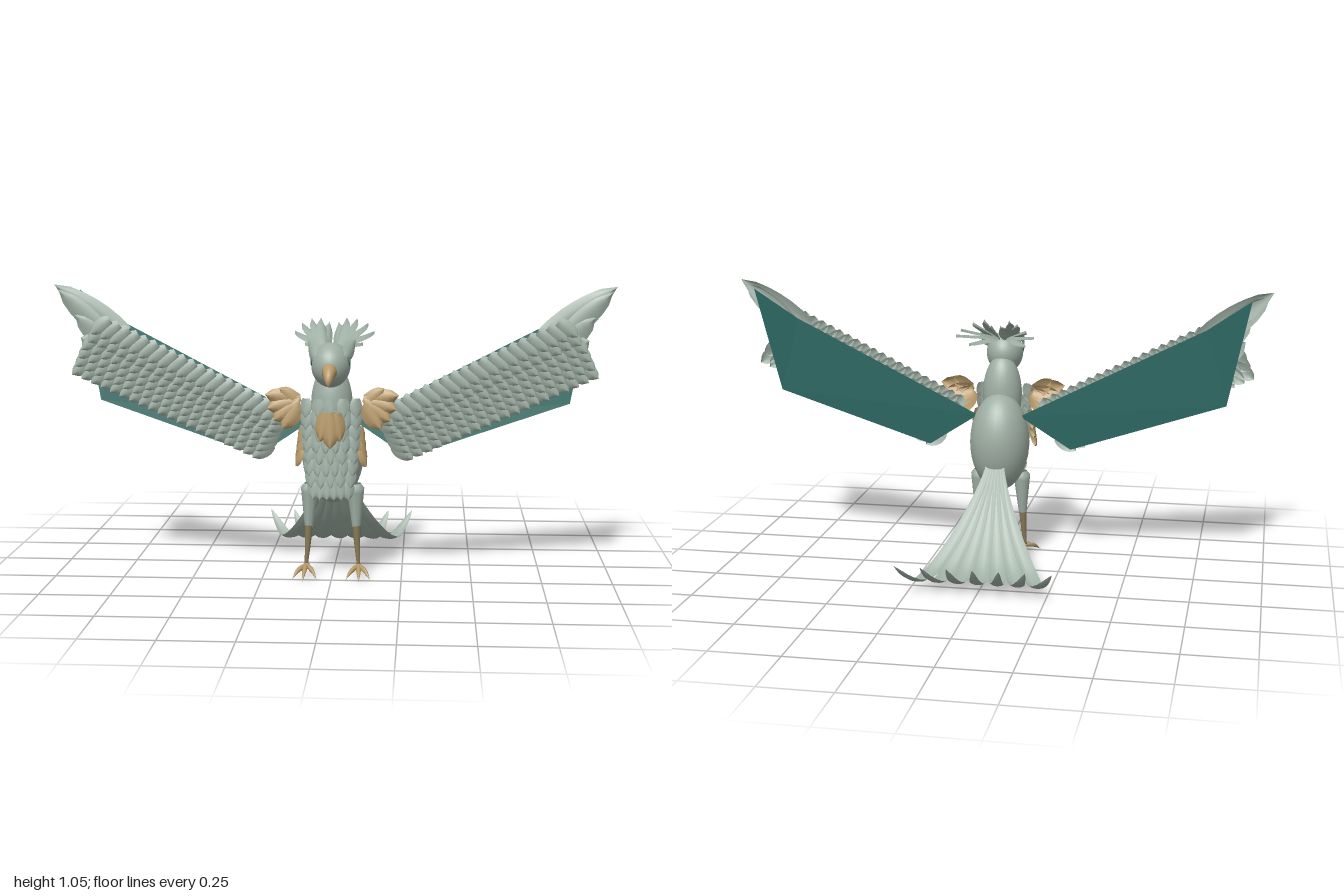
import * as THREE from 'three';
import { mergeGeometries } from 'three/addons/utils/BufferGeometryUtils.js';

const V = (x, y, z) => new THREE.Vector3(x, y, z);

function paint(name, color, open = true) {
  const m = new THREE.MeshStandardMaterial({ color, side: open ? THREE.DoubleSide : THREE.FrontSide });
  m.name = name;
  return m;
}

function add(parent, name, geometry, material) {
  const mesh = new THREE.Mesh(geometry, material);
  mesh.name = name;
  parent.add(mesh);
  return mesh;
}

// Cupped leaf running from base to base + dir * length, facing normal
function feather(base, dir, normal, length, width, cup = 0.012, bend = 0) {
  const g = new THREE.PlaneGeometry(1, 1, 4, 6);
  const p = g.attributes.position;
  for (let i = 0; i < p.count; i++) {
    const u = p.getX(i), t = 0.5 - p.getY(i);
    const w = width * Math.pow(Math.max(0, Math.sin(Math.PI * (0.15 + 0.85 * t))), 0.6);
    p.setXYZ(i, u * w, -t * length, cup * (1 - 4 * u * u) + bend * t * t);
  }
  const y = dir.clone().normalize().negate();
  const x = y.clone().cross(normal).normalize();
  const z = x.clone().cross(y);
  g.applyMatrix4(new THREE.Matrix4().makeBasis(x, y, z).setPosition(base));
  g.computeVertexNormals();
  return g;
}

// Round limb along a curve whose radius follows a rule
function limb(points, radius, sides = 12) {
  const n = 10, curve = new THREE.CatmullRomCurve3(points);
  const g = new THREE.TubeGeometry(curve, n, 1, sides);
  const p = g.attributes.position, v = V(0, 0, 0);
  for (let i = 0; i < p.count; i++) {
    const t = Math.floor(i / (sides + 1)) / n, c = curve.getPointAt(t);
    v.fromBufferAttribute(p, i).sub(c).multiplyScalar(radius(t)).add(c);
    p.setXYZ(i, v.x, v.y, v.z);
  }
  g.computeVertexNormals();
  return g;
}

const ball = (c, r) => new THREE.SphereGeometry(1, 28, 20).scale(...r).translate(...c);

export function createModel() {
  const model = new THREE.Group();
  model.name = 'bird';
  const grey = paint('grey plumage', 0x9fafa4);
  const teal = paint('teal lining', 0x2f6c66);
  const tan = paint('tan horn', 0xb99c6c);
  const brown = paint('brown shank', 0x887a57);

  // Body, neck, head and hooked beak
  add(model, 'body', ball([0, 0.455, 0.15], [0.112, 0.187, 0.119]), grey);
  add(model, 'neck', ball([0, 0.63, 0.205], [0.074, 0.15, 0.072]), grey);
  add(model, 'head', ball([0, 0.78, 0.262], [0.069, 0.079, 0.084]), grey);
  add(model, 'beak', limb([V(0, 0.76, 0.315), V(0, 0.768, 0.355), V(0, 0.75, 0.386), V(0, 0.718, 0.397)],
    t => 0.03 * Math.sqrt(1 - t)), tan);

  // Chest bib of overlapping scale rows
  const bib = [];
  for (let r = 0; r < 8; r++) {
    const n = 5 + (r % 2), half = 0.088 - 0.026 * Math.pow(r / 7, 2);
    for (let i = 0; i < n; i++) {
      const x = half * (2 * i / (n - 1) - 1);
      const z = 0.272 + 0.017 * r / 7 - 2.5 * x * x;
      bib.push(feather(V(x, 0.66 - r * 0.041, z), V(0, -1, 0.13), V(x * 5, 0, 1), 0.07, 0.046, 0.008));
    }
  }
  add(model, 'chestScales', mergeGeometries(bib), grey);

  // Chest ornament
  const badge = [
    feather(V(0, 0.62, 0.308), V(0, -1, 0.08), V(0, 0, 1), 0.13, 0.07, 0.018),
    ...[-1, 1].map(s => feather(V(s * 0.02, 0.615, 0.304), V(s * 0.12, -1, 0.08), V(s * 0.4, 0, 1), 0.1, 0.06, 0.015)),
  ];
  add(model, 'chestOrnament', mergeGeometries(badge), tan);

  // Tail: seven long folded feathers sweeping back and curling up
  const sweep = new THREE.CatmullRomCurve3([V(0, 0.39, 0.055), V(0, 0.25, -0.045), V(0, 0.13, -0.14),
    V(0, 0.06, -0.22), V(0, 0.04, -0.29), V(0, 0.07, -0.35), V(0, 0.12, -0.395)]);
  const tail = [];
  for (let k = -3; k <= 3; k++) {
    const g = new THREE.PlaneGeometry(1, 1, 4, 24), p = g.attributes.position;
    for (let i = 0; i < p.count; i++) {
      const t = 0.5 - p.getY(i), u = p.getX(i), c = sweep.getPointAt(t);
      const w = (0.02 + 0.062 * t) * Math.min(1, Math.pow(Math.max(0, (1 - t) / 0.3), 0.75));
      const x = k * (0.008 + 0.086 * Math.pow(t, 1.35));
      p.setXYZ(i, x + u * w, c.y - 0.012 * (1 - 4 * u * u) * (w / 0.07), c.z);
    }
    g.computeVertexNormals();
    tail.push(g);
  }
  add(model, 'tailFeathers', mergeGeometries(tail), grey);

  for (const s of [1, -1]) {
    const side = new THREE.Group();
    side.name = s > 0 ? 'leftSide' : 'rightSide';
    side.scale.x = s;
    model.add(side);

    // Eye and brow
    add(side, 'eye', ball([0.066, 0.793, 0.285], [0.004, 0.013, 0.007]), teal);
    add(side, 'brow', feather(V(0.05, 0.808, 0.302), V(0.028, 0.055, -0.115), V(0.8, 0.5, 0.15), 0.125, 0.055, 0.01), grey);

    // Crest fan
    const root = V(0.025, 0.835, 0.215);
    const crest = [[0.02, 0.905, 0.06], [0.05, 0.922, 0.08], [0.085, 0.915, 0.05],
      [0.122, 0.895, 0.018], [0.145, 0.868, 0.045], [0.105, 0.83, 0.085]].map(t => {
      const d = V(...t).sub(root);
      return feather(root, d, V(-0.35, 0.75, 0.55), d.length(), 0.045, 0.01);
    });
    add(side, 'crest', mergeGeometries(crest), grey);

    // Wing lining panel
    const lining = new THREE.BufferGeometry();
    lining.setAttribute('position', new THREE.Float32BufferAttribute([
      0.08, 0.56, 0.13, 0.27, 0.435, 0.15, 0.845, 0.63, 0.125, 0.925, 1.025, 0.068, 0.765, 0.912, 0.095], 3));
    lining.setIndex([0, 1, 2, 0, 2, 4, 4, 2, 3]);
    const flat = lining.toNonIndexed();
    flat.computeVertexNormals();
    add(side, 'wingLining', flat, teal);

    // Wing feather rows, the lowest row furthest back
    const along = V(0.91, 0.415, 0), across = V(-0.415, 0.91, 0);
    const down = along.clone().multiplyScalar(0.5).addScaledVector(across, -0.87);
    for (let r = 0; r < 6; r++) {
      const row = [], n = 20;
      for (let i = 0; i < n; i++) {
        const t = i / (n - 1);
        const base = V(0.195, 0.53, 0.16 + 0.007 * r)
          .addScaledVector(along, t * 0.715 - (r > 3 ? 0.01 : 0))
          .addScaledVector(across, -0.055 + 0.034 * r * (0.85 + 0.15 * t));
        row.push(feather(base, down, V(0.15, -0.12, 1), 0.088, 0.058, 0.01));
      }
      add(side, 'wingFeatherRow', mergeGeometries(row), grey);
    }

    // Wing tip plumes
    const plumes = [[0.74, 0.875, 1.0, 1.048, 0.085], [0.8, 0.87, 0.985, 1.03, 0.085], [0.77, 0.83, 0.925, 0.94, 0.1],
      [0.79, 0.8, 0.905, 0.86, 0.1]].map(([x, y, X, Y, w], i) =>
      feather(V(x, y, 0.15 + i * 0.006), V(X - x, Y - y, -0.01), V(0, 0, 1), Math.hypot(X - x, Y - y), w, 0.012));
    add(side, 'wingTip', mergeGeometries(plumes), grey);

    // Shoulder guard and flank plates
    const guard = [10, -12, -34, -56].map((a, i) => {
      const q = a * Math.PI / 180;
      return feather(V(0.115, 0.645 - i * 0.004, 0.2 + i * 0.004), V(Math.cos(q), Math.sin(q), 0.06), V(0.1, 0, 1),
        0.125 - i * 0.006, 0.07, 0.014);
    });
    guard.push(feather(V(0.12, 0.63, 0.205), V(0.65, 0.6, 0), V(0, 0, 1), 0.09, 0.06, 0.012));
    add(side, 'shoulderGuard', mergeGeometries(guard), tan);
    const flank = [0, 1, 2].map(i =>
      feather(V(0.1 + 0.004 * i, 0.56 - 0.035 * i, 0.235 + 0.004 * i), V(0.12, -1, 0.15), V(0.8, 0.1, 0.6), 0.075, 0.05, 0.012));
    add(side, 'flankPlates', mergeGeometries(flank), tan);

    // Leg: feathered thigh, shank and four clawed toes
    add(side, 'thigh', limb([V(0.082, 0.34, 0.168), V(0.084, 0.26, 0.168), V(0.086, 0.178, 0.17)],
      t => t < 0.01 ? 0.02 : 0.034 - 0.019 * t), grey);
    add(side, 'shank', limb([V(0.086, 0.185, 0.171), V(0.09, 0.11, 0.175), V(0.095, 0.04, 0.181)],
      t => 0.015 - 0.009 * t), brown);
    for (const [x, z] of [[0.05, 0.262], [0.1, 0.29], [0.142, 0.262], [0.093, 0.1]]) {
      const mx = (x * 0.6 + 0.095 * 0.4), mz = z * 0.6 + 0.18 * 0.4;
      add(side, 'toe', limb([V(0.095, 0.042, 0.18), V(mx, 0.027, mz), V(x, 0.002, z)],
        t => 0.004 + 0.006 * Math.sin(Math.PI * Math.min(1, t + 0.1)) - 0.0035 * t, 8), tan);
    }
  }
  return model;
}
